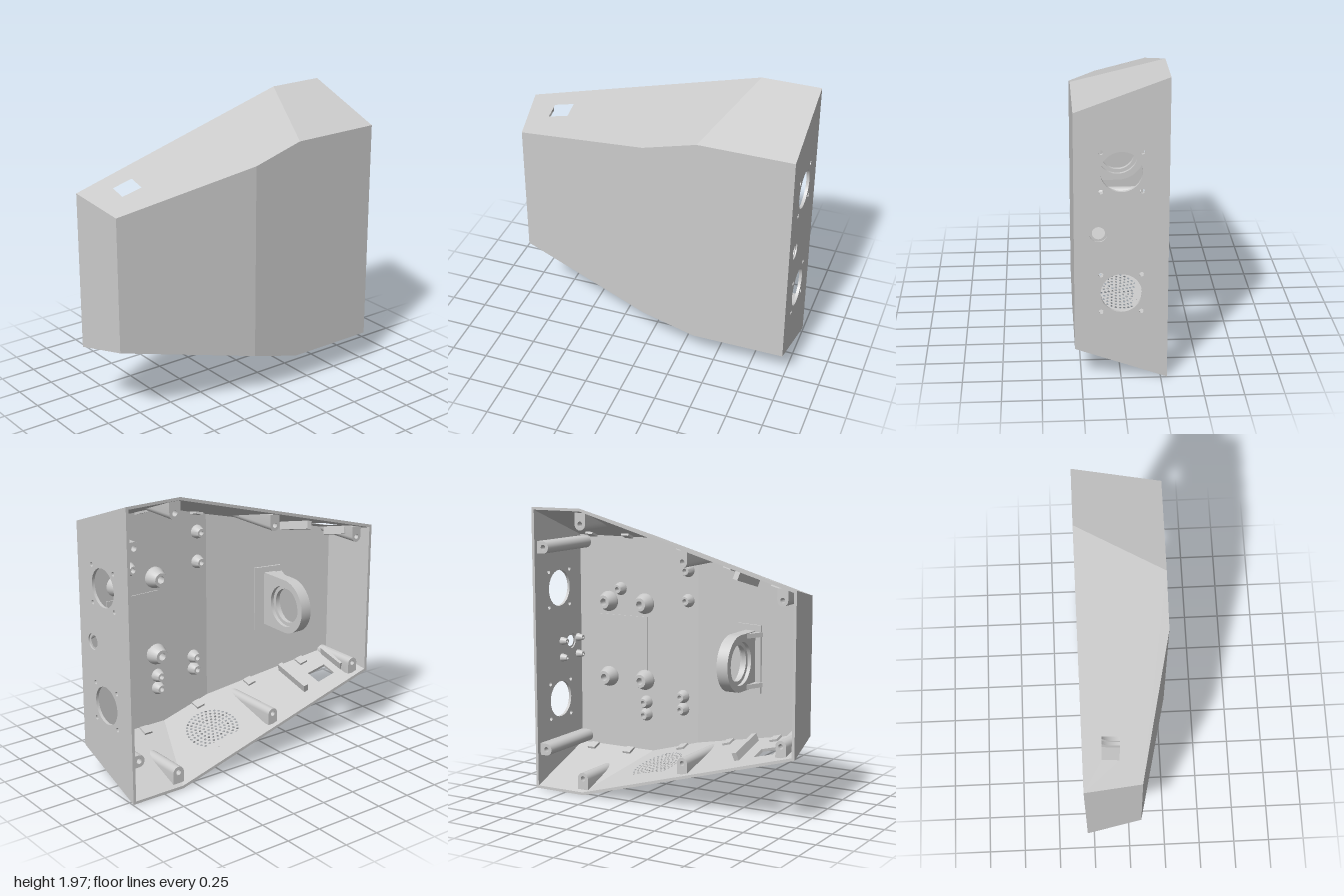
import * as THREE from 'three';
import { toCreasedNormals } from 'three/addons/utils/BufferGeometryUtils.js';

const V = (x, y, z) => new THREE.Vector3(x, y, z);
const MID = 0.99, BACK = -0.29, T = 0.02; // mid height, open back plane, wall thickness
const grey = new THREE.MeshStandardMaterial({ color: 0xcccccc });
const thin = new THREE.MeshStandardMaterial({ color: 0xcccccc, side: THREE.DoubleSide });

// Plane through three points, facing away from the middle of the box
function plane(a, b, c) {
  const n = b.clone().sub(a).cross(c.clone().sub(a)).normalize();
  if (n.dot(a.clone().sub(V(0, MID, 0))) < 0) n.negate();
  return { n, d: n.dot(a) };
}
function meet(a, b, c) {
  const bc = b.n.clone().cross(c.n), k = a.n.dot(bc);
  return bc.multiplyScalar(a.d)
    .addScaledVector(c.n.clone().cross(a.n), b.d)
    .addScaledVector(a.n.clone().cross(b.n), c.d).divideScalar(k);
}
const onPlane = (p, x, z) => V(x, (p.d - p.n.x * x - p.n.z * z) / p.n.y, z);

// The outer faces; s = 1 is the upper copy, s = -1 the lower one
const flat = s => plane(V(0.6, MID + s * 0.987, BACK), V(1, MID + s * 0.987, BACK), V(0.36, MID + s * 0.775, 0.29));
const slope = s => plane(V(0.6, MID + s * 0.987, BACK), V(-1, MID + s * 0.538, BACK), V(0.36, MID + s * 0.775, 0.29));
const P = {
  back: { n: V(0, 0, -1), d: -BACK },
  right: { n: V(1, 0, 0), d: 0.995 },
  front: { n: V(0, 0, 1), d: 0.29 },
  frontSlope: plane(V(0, 0, 0.29), V(0, 1, 0.29), V(-0.94, 0, 0.08)),
  left: plane(V(-1, 0, BACK), V(-1, 1, BACK), V(-0.94, 0, 0.08)),
  topFlat: flat(1), topSlope: slope(1), bottomFlat: flat(-1), bottomSlope: slope(-1),
};
// Neighbours of each panel, in order around it
const LOOPS = {
  right: ['back', 'topFlat', 'front', 'bottomFlat'],
  topFlat: ['back', 'right', 'front', 'topSlope'],
  topSlope: ['back', 'topFlat', 'front', 'frontSlope', 'left'],
  left: ['back', 'topSlope', 'frontSlope', 'bottomSlope'],
  bottomSlope: ['back', 'left', 'frontSlope', 'front', 'bottomFlat'],
  bottomFlat: ['back', 'bottomSlope', 'front', 'right'],
  front: ['right', 'topFlat', 'topSlope', 'frontSlope', 'bottomSlope', 'bottomFlat'],
  frontSlope: ['front', 'topSlope', 'left', 'bottomSlope'],
};

function axes(p) {
  const u = Math.abs(p.n.x) > 0.9 ? V(0, 0, -1) : V(1, 0, 0);
  u.addScaledVector(p.n, -u.dot(p.n)).normalize();
  return { u, v: p.n.clone().cross(u) };
}
const circle = (x, y, r) => new THREE.Path().absarc(x, y, r, 0, Math.PI * 2, true);

// Wall panel with holes: round ones as {c, r}, others as lists of corners
function panel(name, holes) {
  const p = P[name], { u, v } = axes(p), loop = LOOPS[name];
  const to2 = q => new THREE.Vector2(q.dot(u), q.dot(v));
  const shape = new THREE.Shape(loop.map((k, i) => to2(meet(p, P[k], P[loop[(i + 1) % loop.length]]))));
  for (const h of holes) {
    if (h.c) { const c = to2(h.c); shape.holes.push(circle(c.x, c.y, h.r)); }
    else shape.holes.push(new THREE.Path(h.map(to2)));
  }
  const small = holes.length > 50;
  const g = new THREE.ExtrudeGeometry(shape, { depth: T, bevelEnabled: false, curveSegments: small ? 5 : 20 });
  g.translate(0, 0, -T);
  g.applyMatrix4(new THREE.Matrix4().makeBasis(u, v, p.n).setPosition(p.n.clone().multiplyScalar(p.d)));
  // Trim the rim flush with the open back
  const a = g.attributes.position;
  for (let i = 0; i < a.count; i++) if (a.getZ(i) < BACK) a.setZ(i, BACK);
  return new THREE.Mesh(toCreasedNormals(g, 0.6), grey);
}

// Screw post with one round side; it runs forward until it meets the walls
function post(x, y, r, dir, reach) {
  const c = new THREE.Vector2(x, y), side = new THREE.Vector2(-dir.y, dir.x), pts = [];
  const at = (k, m) => c.clone().addScaledVector(dir, k).addScaledVector(side, m);
  pts.push(at(reach, r));
  for (let i = 0; i <= 12; i++) pts.push(at(-r * Math.sin(i * Math.PI / 12), r * Math.cos(i * Math.PI / 12)));
  pts.push(at(reach, -r));
  const shape = new THREE.Shape(pts);
  shape.holes.push(circle(x, y, r * 0.45));
  const z0 = BACK + 0.03;
  const g = new THREE.ExtrudeGeometry(shape, { depth: 1, bevelEnabled: false, curveSegments: 8 });
  const a = g.attributes.position;
  for (let i = 0; i < a.count; i++) {
    let z = z0;
    if (a.getZ(i) > 0.5) {
      z = Math.min(...Object.values(P).filter(p => p.n.z > 0.05)
        .map(p => (p.d - T / 2 - p.n.x * a.getX(i) - p.n.y * a.getY(i)) / p.n.z));
    }
    a.setZ(i, Math.max(z0, z));
  }
  return new THREE.Mesh(toCreasedNormals(g, 0.6), grey);
}

function standoff(r, h) {
  const pts = [[r, 0], [r, h * 0.25], [r * 0.65, h], [r * 0.35, h], [r * 0.35, h * 0.2], [0, h * 0.2]];
  const g = new THREE.LatheGeometry(pts.map(q => new THREE.Vector2(...q)), 24);
  return new THREE.Mesh(toCreasedNormals(g, 0.5), grey);
}

export function createModel() {
  const model = new THREE.Group();
  const add = (name, mesh, pos) => {
    mesh.name = name;
    if (pos) mesh.position.copy(pos);
    model.add(mesh);
    return mesh;
  };

  // Holes in the walls
  const holes = Object.fromEntries(Object.keys(LOOPS).map(k => [k, []]));
  for (const y of [1.392, 0.594]) {
    holes.right.push({ c: V(1, y, 0), r: 0.128 });
    for (const dy of [-0.125, 0.125]) for (const dz of [-0.125, 0.125])
      holes.right.push({ c: V(1, y + dy, dz), r: 0.015 });
  }
  holes.right.push({ c: V(1, 0.995, 0.14), r: 0.055 });
  for (const k of ['topSlope', 'bottomSlope']) {
    holes[k].push([[-0.8, -0.17], [-0.66, -0.165], [-0.66, -0.05], [-0.8, -0.06]].map(q => onPlane(P[k], ...q)));
  }
  // Speaker grille: rings of small holes
  const { u, v } = axes(P.bottomSlope), centre = onPlane(P.bottomSlope, 0.16, -0.01);
  for (let ring = 0; ring <= 6; ring++) {
    const n = Math.max(1, ring * 6);
    for (let i = 0; i < n; i++) {
      const t = i / n * Math.PI * 2, r = ring * 0.029;
      holes.bottomSlope.push({
        c: centre.clone().addScaledVector(u, r * Math.cos(t)).addScaledVector(v, r * Math.sin(t)), r: 0.009,
      });
    }
  }
  for (const k of Object.keys(LOOPS)) add(k + 'Panel', panel(k, holes[k]));

  // Stepped edge inside the small socket hole
  add('socketLip', new THREE.Mesh(new THREE.RingGeometry(0.04, 0.057, 32), thin), V(0.985, 0.995, 0.14)).rotation.y = Math.PI / 2;

  for (const s of [1, -1]) {
    const wall = P[s > 0 ? 'topSlope' : 'bottomSlope'], up = new THREE.Vector2(0, s);
    // Screw posts along the right, upper and lower walls
    add('sidePost', post(0.925, MID + s * 0.71, 0.042, new THREE.Vector2(1, 0), 0.06));
    add('cornerPost', post(0.62, MID + s * 0.88, 0.042, up, 0.09));
    for (const x of [-0.17, -0.89]) {
      const end = Math.abs(onPlane(wall, x, BACK + 0.03).y - MID) - 0.02;
      add('wallPost', post(x, MID + s * (end - 0.075), 0.038, up, 0.075));
    }
    // Rails beside the window
    for (const [x, z, len] of [[-0.54, -0.03, 0.3], [-0.87, -0.07, 0.22]]) {
      const rail = add('windowRail', new THREE.Mesh(new THREE.BoxGeometry(0.035, 0.06, len), grey),
        onPlane(wall, x, z).addScaledVector(wall.n, -0.045));
      const a = axes(wall);
      rail.quaternion.setFromRotationMatrix(new THREE.Matrix4().makeBasis(a.u, wall.n, a.v.clone().negate()));
    }
    // Joint tabs along the front edge
    for (const x of [0.85, 0.55, 0.1, -0.3, -0.7]) {
      const w = x > 0.4 ? P[s > 0 ? 'topFlat' : 'bottomFlat'] : wall, a = axes(w);
      const z = 0.29 + Math.min(0, x * 0.223) - 0.055;
      const tab = add('jointTab', new THREE.Mesh(new THREE.BoxGeometry(0.06, 0.02, 0.07), grey),
        onPlane(w, x, z).addScaledVector(w.n, -0.025));
      tab.quaternion.setFromRotationMatrix(new THREE.Matrix4().makeBasis(a.u, w.n, a.v.clone().negate()));
    }
  }

  // Standoffs on the front wall and a thin pad between the large ones
  const onFront = (x, y, r, h) => { add('standoff', standoff(r, h), V(x, y, 0.272)).rotation.x = -Math.PI / 2; };
  for (const x of [0.73, 0.43]) for (const y of [1.285, 0.74]) onFront(x, y, 0.072, 0.085);
  for (const [x, y] of [[0.63, 1.38], [0.08, 1.54], [0.08, 1.33], [0.42, 0.58], [0.42, 0.49], [0.12, 0.65], [0.12, 0.56]])
    onFront(x, y, 0.046, 0.06);
  add('displayPad', new THREE.Mesh(new THREE.BoxGeometry(0.4, 0.4, 0.01), grey), V(0.61, 0.99, 0.268));

  // Small standoffs around the socket hole
  for (const z of [0.22, 0.02]) for (const y of [1.01, 0.89])
    add('socketStandoff', standoff(0.028, 0.05), V(0.977, y, z)).rotation.z = Math.PI / 2;

  // Upright ring holder, with a smaller lip inside its bore
  const holder = (r, bore, depth, reach) => {
    const shape = new THREE.Shape();
    shape.absarc(0, 0, r, -Math.PI / 2, Math.PI / 2, false);
    if (reach) { shape.lineTo(-reach, r); shape.lineTo(-reach, -r); }
    else shape.absarc(0, 0, r, Math.PI / 2, Math.PI * 1.5, false);
    shape.holes.push(circle(0, 0, bore));
    const g = new THREE.ExtrudeGeometry(shape, { depth, bevelEnabled: false, curveSegments: 24 });
    return new THREE.Mesh(toCreasedNormals(g, 0.5), grey);
  };
  add('ringHolder', holder(0.19, 0.145, 0.08, 0.225), V(-0.5, MID, -0.06)).rotation.y = Math.PI / 2;
  add('ringLip', holder(0.15, 0.12, 0.03, 0), V(-0.475, MID, -0.06)).rotation.y = Math.PI / 2;
  add('holderBase', new THREE.Mesh(new THREE.BoxGeometry(0.2, 0.46, 0.02), grey), V(-0.45, MID, 0.165)).rotation.y = -Math.atan(0.223);
  const gusset = new THREE.Shape([[-0.49, 0], [-0.49, 0.165], [-0.56, 0.15]].map(q => new THREE.Vector2(...q)));
  for (const s of [1, -1]) {
    const g = new THREE.ExtrudeGeometry(gusset, { depth: 0.03, bevelEnabled: false });
    add('holderGusset', new THREE.Mesh(g, grey), V(0, MID + s * 0.17 + 0.015, 0)).rotation.x = Math.PI / 2;
  }
  return model;
}
